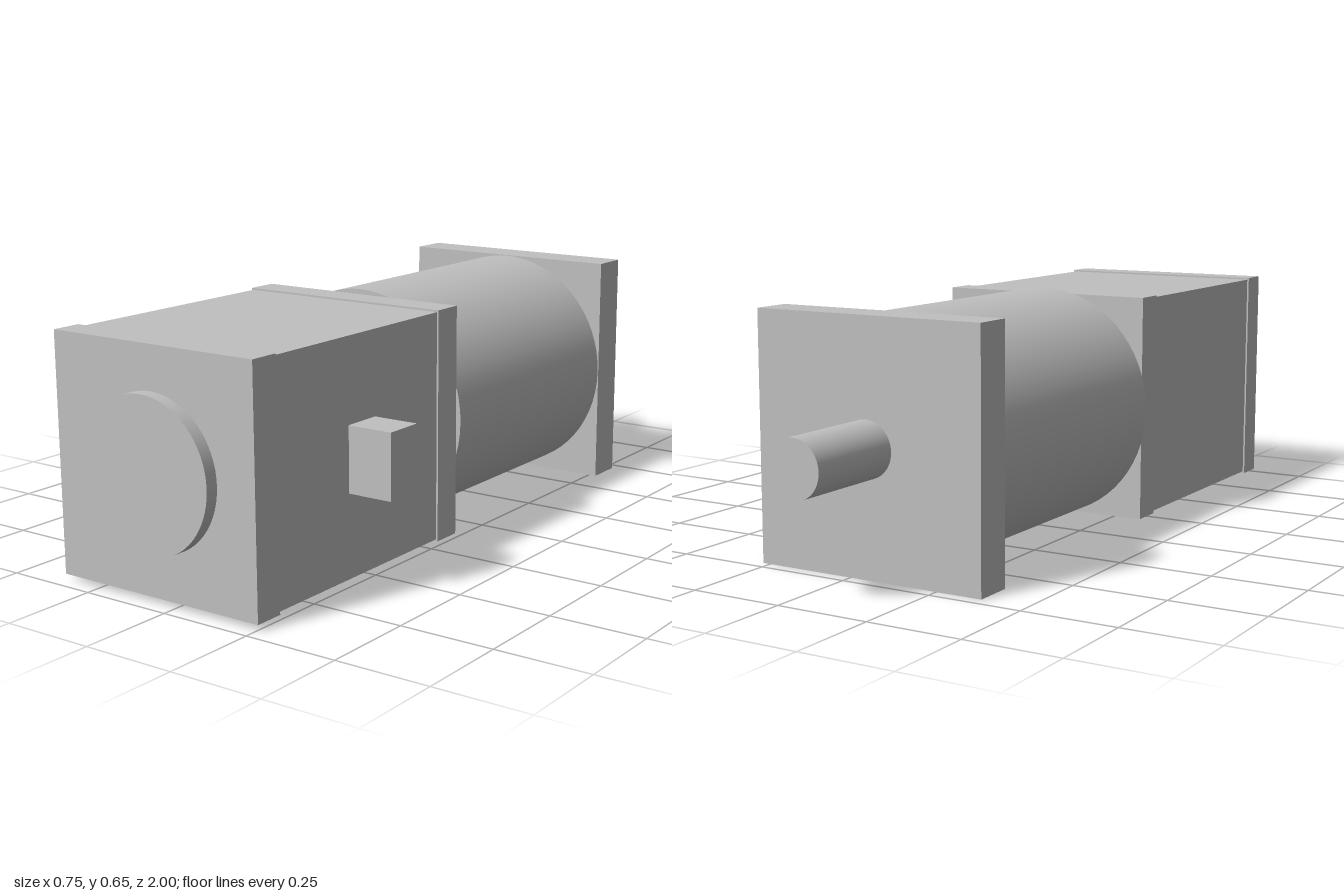
import * as THREE from 'three';

const CX = -0.052, CY = 0.325; // motor axis

export function createModel() {
  const group = new THREE.Group();
  const grey = new THREE.MeshStandardMaterial({ color: 0xc0c0c0 });
  grey.name = 'metal grey';

  const add = (name, geometry, x, y, z) => {
    const mesh = new THREE.Mesh(geometry, grey);
    mesh.name = name;
    mesh.position.set(x, y, z);
    group.add(mesh);
  };
  // square block on the axis, from z0 to z1
  const block = (name, half, z0, z1) =>
    add(name, new THREE.BoxGeometry(half * 2, half * 2, z1 - z0), CX, CY, (z0 + z1) / 2);
  // round part on the axis, from z0 to z1
  const round = (name, radius, z0, z1) =>
    add(name, new THREE.CylinderGeometry(radius, radius, z1 - z0, 64).rotateX(Math.PI / 2), CX, CY, (z0 + z1) / 2);

  // gearbox and output shaft
  round('outputShaft', 0.073, -1, -0.718);
  block('mountingFlange', 0.324, -0.718, -0.61);
  round('gearboxHousing', 0.322, -0.61, 0.145);

  // motor body between two slightly wider end caps
  block('rearEndCap', 0.308, 0.145, 0.23);
  block('motorBody', 0.303, 0.23, 0.885);
  block('frontEndCap', 0.308, 0.885, 0.965);
  round('frontBoss', 0.196, 0.965, 1);

  // cable connector on the left side
  add('connector', new THREE.BoxGeometry(0.124, 0.17, 0.108), 0.313, 0.325, 0.555);

  return group;
}
